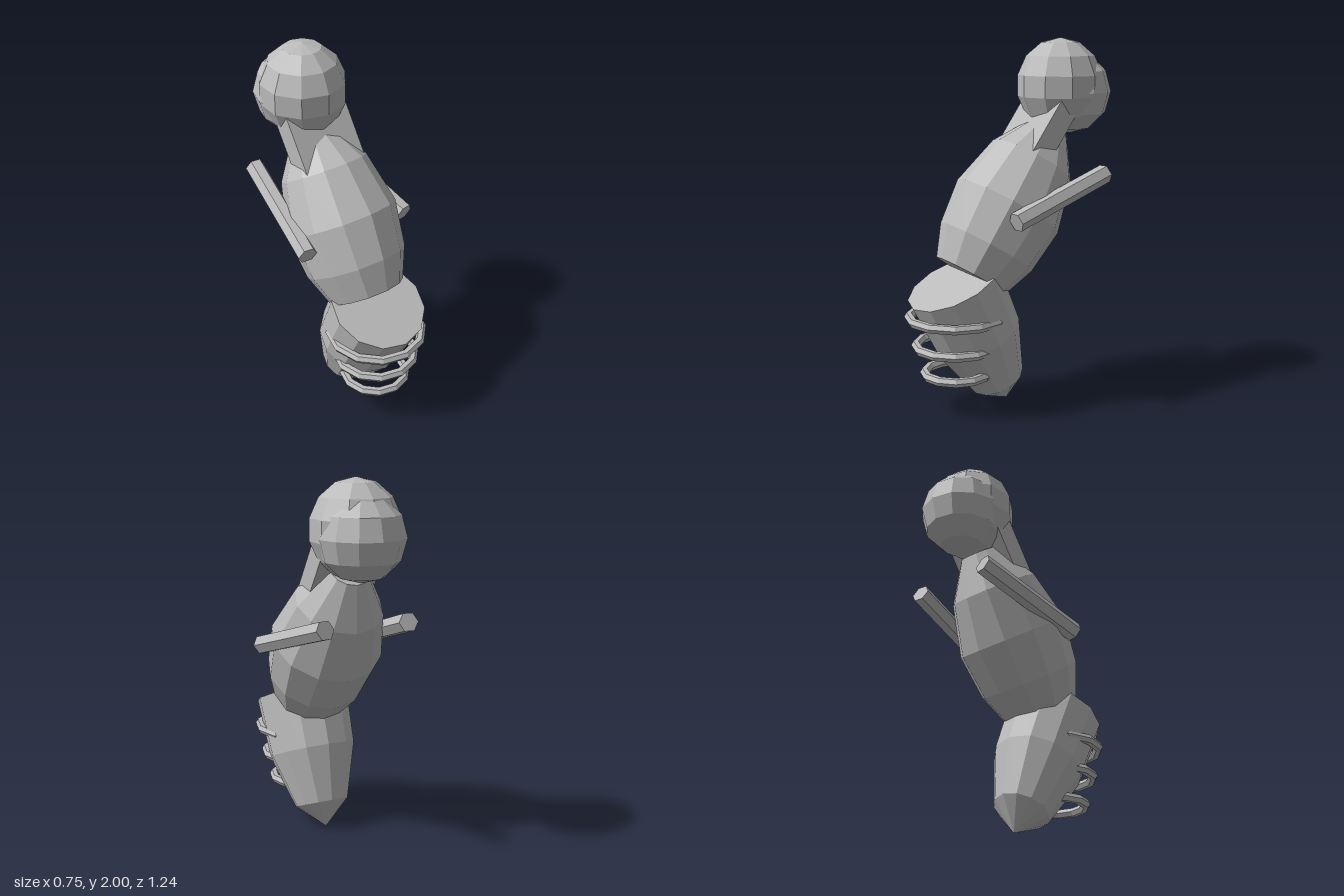
import * as THREE from 'three';

const deg = THREE.MathUtils.degToRad;

export function createModel() {
  const model = new THREE.Group();
  const grey = new THREE.MeshStandardMaterial({ color: 0xbbbbbb, flatShading: true });
  grey.name = 'light grey';

  // Adds a part at a position, optionally tilted about x (degrees)
  const add = (name, geometry, [x, y, z], tilt = 0) => {
    const mesh = new THREE.Mesh(geometry, grey);
    mesh.name = name;
    mesh.position.set(x, y, z);
    mesh.rotation.x = deg(tilt);
    model.add(mesh);
    return mesh;
  };
  const lathe = (profile) =>
    new THREE.LatheGeometry(profile.map(([r, y]) => new THREE.Vector2(r, y)), 12);

  // Head, and the round bun behind it
  const head = new THREE.SphereGeometry(1, 10, 7).rotateY(Math.PI / 2).scale(0.24, 0.26, 0.24);
  add('head', head, [0, 1.74, -0.323]);
  add('bun', new THREE.SphereGeometry(0.23, 12, 6), [0, 1.705, -0.387]);

  // Neck block leaning back into the head
  add('neck', new THREE.BoxGeometry(0.37, 0.45, 0.125), [0, 1.543, -0.193], -35);

  // Barrel-shaped torso leaning back
  add('torso', lathe([
    [0, 0], [0.212, 0], [0.28, 0.175], [0.31, 0.425], [0.242, 0.71], [0.105, 0.925], [0, 0.925],
  ]), [0, 0.739, 0.246], -33);

  // Tapered lower body leaning forward, with a flat top and a pointed end
  add('lowerBody', lathe([
    [0, -0.786], [0.152, -0.648], [0.247, -0.34], [0.264, 0], [0, 0],
  ]), [0, 0.7126, 0.357], 25);

  // Level hoops around the lower body
  for (const [y, radius] of [[0.525, 0.255], [0.365, 0.22], [0.21, 0.175]]) {
    const hoop = new THREE.TorusGeometry(radius, 0.026, 6, 12).rotateX(Math.PI / 2);
    add('hoop', hoop, [0, y, 0.34]);
  }

  // Straight six-sided arms, mirrored left and right
  for (const side of [1, -1]) {
    const back = new THREE.Vector3(side * 0.235, 1.27, -0.465);
    const front = new THREE.Vector3(side * 0.322, 1.075, 0.16);
    const rod = new THREE.CylinderGeometry(0.053, 0.053, back.distanceTo(front), 6)
      .rotateY(Math.PI / 6).rotateX(Math.PI / 2);
    const middle = back.clone().lerp(front, 0.5);
    add(side > 0 ? 'leftArm' : 'rightArm', rod, middle.toArray()).lookAt(front);
  }

  return model;
}
